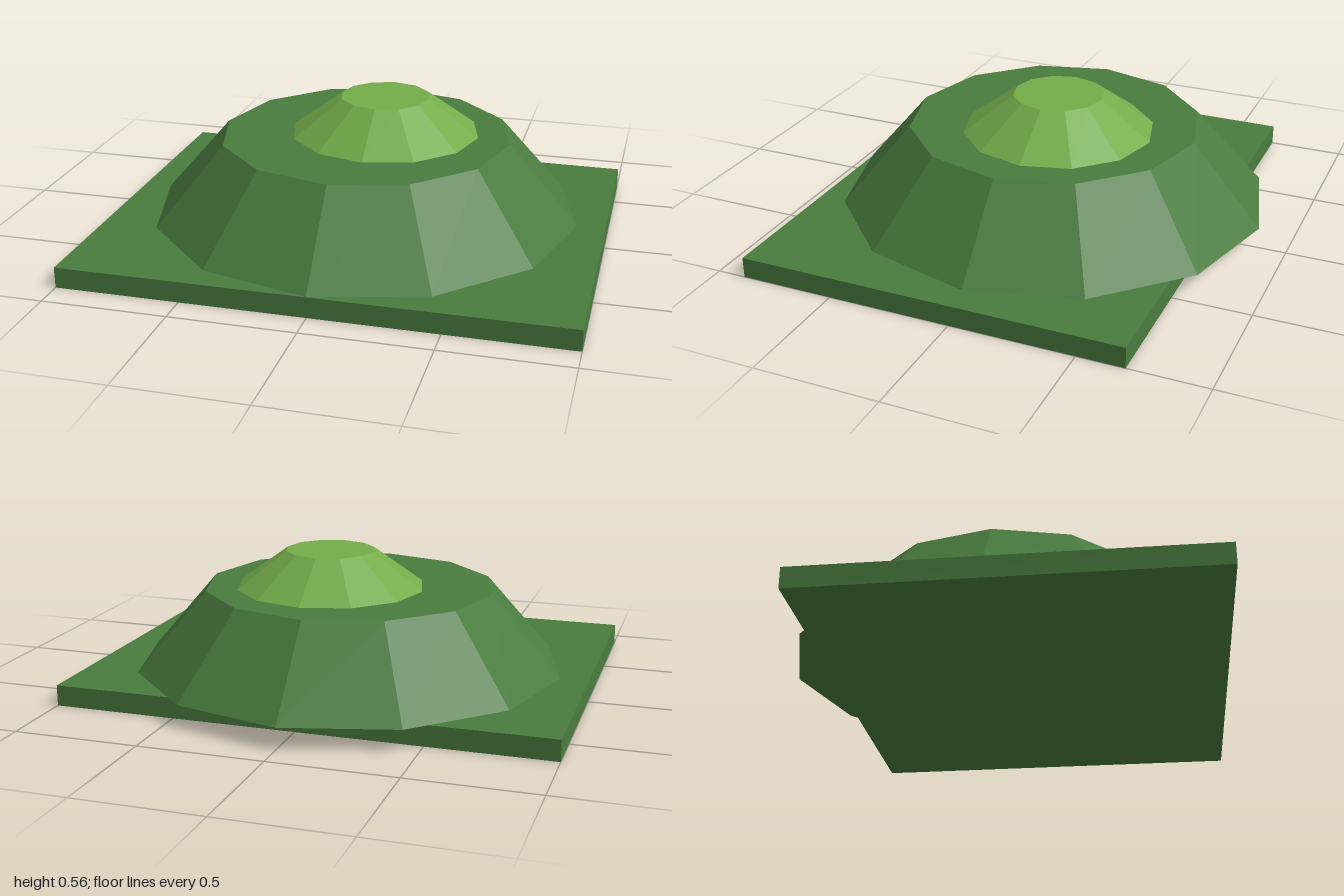
import * as THREE from 'three';

const material = (color) => new THREE.MeshStandardMaterial({ color, flatShading: true });

export function createModel() {
  const group = new THREE.Group();
  const darkGreen = material(0x4a7c3f);
  const lightGreen = material(0x74ad4a);

  const add = (name, geometry, mat, x, y, z) => {
    const mesh = new THREE.Mesh(geometry, mat);
    mesh.name = name;
    mesh.position.set(x, y, z);
    group.add(mesh);
  };

  // Twelve-sided tapered mound standing on height y0
  const addMound = (name, topRadius, bottomRadius, y0, y1, mat, x, z) =>
    add(name, new THREE.CylinderGeometry(topRadius, bottomRadius, y1 - y0, 12), mat, x, (y0 + y1) / 2, z);

  // Flat ground slab, shifted towards the front
  add('groundSlab', new THREE.BoxGeometry(2, 0.084, 1.57), darkGreen, 0, 0.042, 0.098);

  // Wide hill, overhanging the slab at the back
  addMound('hill', 0.6, 0.885, 0.086, 0.413, darkGreen, 0, 0);

  // Small off-centre summit
  addMound('summit', 0.185, 0.39, 0.413, 0.564, lightGreen, 0.07, -0.045);

  return group;
}
